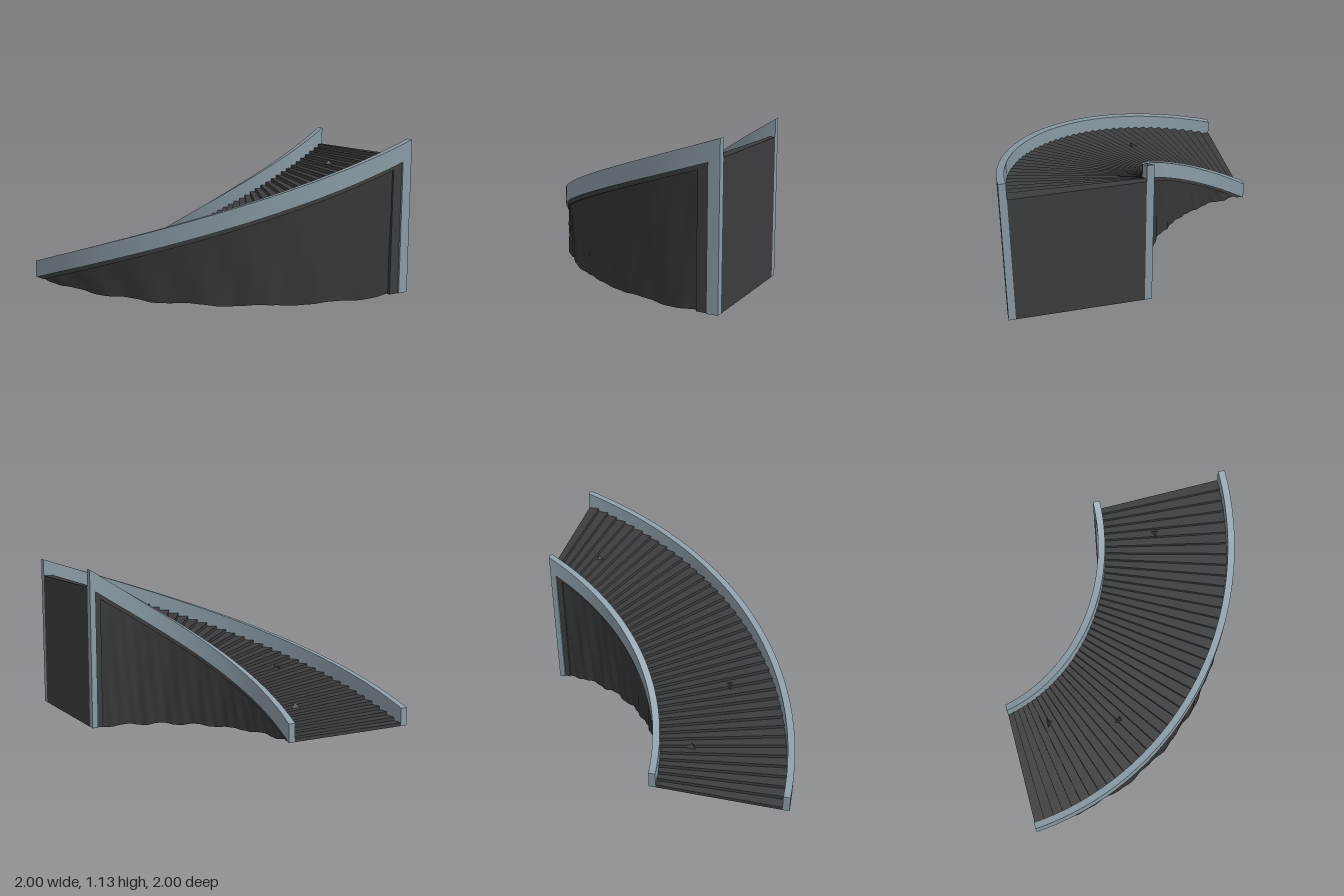
import * as THREE from 'three';
import { toCreasedNormals } from 'three/addons/utils/BufferGeometryUtils.js';

const QUARTER = Math.PI / 2;
const BASE = 0.01, RISE = 1.0, STEPS = 40;
const POST = 0.974, FRAME = 0.949; // where the end post and its dark trim begin (0..1 along the arc)

const steel = new THREE.MeshStandardMaterial({ color: 0x8a9ba5 });
const dark = new THREE.MeshStandardMaterial({ color: 0x3c3d40 });
const cloth = new THREE.MeshStandardMaterial({ color: 0x353638, side: THREE.DoubleSide });

// Point on the quarter turn: t = 0 at the foot, t = 1 at the top
const at = (r, t, y) => [1 - r * Math.cos(t * QUARTER), y, -1 + r * Math.sin(t * QUARTER)];
const slope = (t) => BASE + (RISE - 0.005) * t;

// Curved bar with a rectangular section, between two radii and two height rules
function sector(r0, r1, t0, t1, bottom, top, n) {
  const pos = [];
  const ring = (i) => {
    const t = t0 + ((t1 - t0) * i) / n;
    return [at(r0, t, bottom(t)), at(r1, t, bottom(t)), at(r1, t, top(t)), at(r0, t, top(t))];
  };
  const quad = (a, b, c, d) => pos.push(...a, ...b, ...c, ...a, ...c, ...d);
  for (let i = 0; i < n; i++) {
    const p = ring(i), q = ring(i + 1);
    for (let k = 0; k < 4; k++) {
      const m = (k + 1) % 4;
      quad(p[m], p[k], q[k], q[m]);
    }
  }
  quad(...ring(0));
  quad(...ring(n).reverse());
  const g = new THREE.BufferGeometry();
  g.setAttribute('position', new THREE.Float32BufferAttribute(pos, 3));
  return toCreasedNormals(g, 0.5);
}

// Wrinkled sheet hanging from a stringer to the ground
function sheet(r, phase) {
  const g = new THREE.PlaneGeometry(1, 1, 70, 8);
  const p = g.attributes.position;
  for (let i = 0; i < p.count; i++) {
    const t = p.getX(i) + 0.5, v = p.getY(i) + 0.5;
    const fold = Math.sin(t * 47 + phase + v * 3) * 0.5 + Math.sin(t * 113 - v * 5 + phase) * 0.3;
    const hem = 0.007 + 0.007 * Math.sin(t * 38 + phase);
    const y = hem + (slope(t) + 0.01 - hem) * v;
    p.setXYZ(i, ...at(r + 0.014 * fold * (1 - v * v), t * 0.97, y));
  }
  g.computeVertexNormals();
  return g;
}

export function createModel() {
  const group = new THREE.Group();
  const add = (name, geometry, material) => {
    const mesh = new THREE.Mesh(geometry, material);
    mesh.name = name;
    group.add(mesh);
    return mesh;
  };
  const ground = () => BASE;

  // Both sides: stringer, end post, dark trim and sheet
  const sides = [
    { name: 'inner', r0: 1, r1: 1.05, trim: [1.012, 1.045], sheet: 1.025 },
    { name: 'outer', r0: 1.95, r1: 2, trim: [1.955, 1.988], sheet: 1.975 },
  ];
  sides.forEach((s, i) => {
    add(s.name + 'Stringer', sector(s.r0, s.r1, 0, 1, slope, (t) => slope(t) + 0.13, 64), steel);
    add(s.name + 'EndPost', sector(s.r0, s.r1, POST, 1, ground, slope, 3), steel);
    add(s.name + 'TopTrim',
      sector(...s.trim, 0, POST, (t) => Math.max(BASE, slope(t) - 0.03), slope, 60), dark);
    add(s.name + 'PostTrim', sector(...s.trim, FRAME, POST, ground, slope, 2), dark);
    add(s.name + 'Sheet', sheet(s.sheet, i * 2), cloth);
  });

  // Steps, open underneath
  for (let i = 0; i < STEPS; i++) {
    const low = BASE + (RISE * i) / STEPS;
    add('step' + (i + 1), sector(1.05, 1.95, i / STEPS, (i + 1) / STEPS,
      () => low, () => low + RISE / STEPS, 1), dark);
  }

  // Wall closing the tall end
  add('endWall', sector(1.05, 1.95, 0.99, 1, ground, () => BASE + RISE, 1), dark);

  // Small stones lying on the steps
  [[-0.24, -0.7], [-0.41, -0.19], [0.75, 0.4]].forEach(([x, z], i) => {
    const t = Math.atan2(z + 1, 1 - x) / QUARTER;
    const stone = add('stone' + (i + 1), new THREE.ConeGeometry(0.04, 0.04, 3).toNonIndexed(), dark);
    stone.geometry.computeVertexNormals();
    stone.position.set(x, BASE + RISE * t + 0.022, z);
    stone.rotation.y = i * 1.3;
  });
  return group;
}
